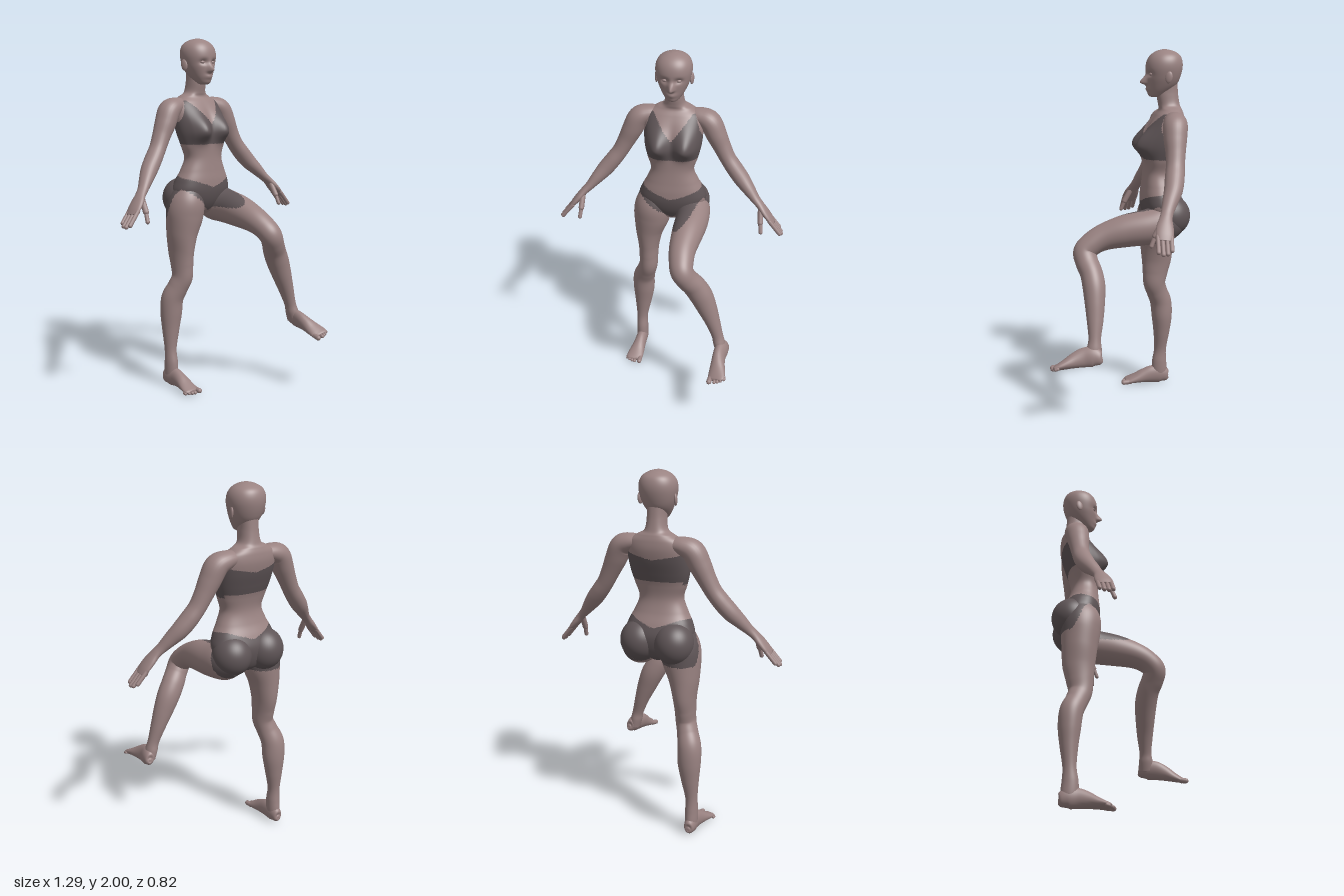
import * as THREE from 'three';

const skin = new THREE.MeshStandardMaterial({ color: 0x9a8382 });
skin.name = 'skin';
const fabric = new THREE.MeshStandardMaterial({ color: 0x5f5557 });
fabric.name = 'fabric';

const V = (x, y, z) => new THREE.Vector3(x, y, z);
const bump = (d, s) => Math.exp(-(d * d) / (2 * s * s));

// Catmull-Rom interpolation over rows of numbers, t in 0..1
function sample(rows, t) {
  const last = rows.length - 1;
  const f = Math.min(Math.max(t, 0), 1) * last;
  const i = Math.min(Math.floor(f), last - 1), u = f - i;
  const row = k => rows[Math.min(Math.max(k, 0), last)];
  const [a, b, c, d] = [row(i - 1), row(i), row(i + 1), row(i + 2)];
  return b.map((_, k) => 0.5 * (2 * b[k] + (c[k] - a[k]) * u
    + (2 * a[k] - 5 * b[k] + 4 * c[k] - d[k]) * u * u
    + (3 * b[k] - a[k] - 3 * c[k] + d[k]) * u * u * u));
}

// Closed skin over rings; point(t, angle) gives a surface point
function loft(point, rings, sides) {
  const pos = [], idx = [], ends = [V(0, 0, 0), V(0, 0, 0)];
  for (let i = 0; i <= rings; i++) for (let j = 0; j < sides; j++) {
    const p = point(i / rings, (j / sides) * Math.PI * 2);
    pos.push(p.x, p.y, p.z);
    if (i === 0) ends[0].addScaledVector(p, 1 / sides);
    if (i === rings) ends[1].addScaledVector(p, 1 / sides);
  }
  ends.forEach(e => pos.push(e.x, e.y, e.z));
  const base = (rings + 1) * sides;
  for (let j = 0; j < sides; j++) {
    const k = (j + 1) % sides;
    for (let i = 0; i < rings; i++) {
      const a = i * sides, b = a + sides;
      idx.push(a + j, a + k, b + k, a + j, b + k, b + j);
    }
    idx.push(base, k, j, base + 1, rings * sides + j, rings * sides + k);
  }
  const geo = new THREE.BufferGeometry();
  geo.setAttribute('position', new THREE.Float32BufferAttribute(pos, 3));
  geo.setIndex(idx);
  geo.computeVertexNormals();
  return geo;
}

// Limb: rows [x, y, z, radius along ref, radius across]
function limb(rows, ref, rings = 60, sides = 28) {
  return loft((t, ang) => {
    const r = sample(rows, t), e = 0.004;
    const tan = V(...sample(rows, t + e)).sub(V(...sample(rows, t - e))).normalize();
    const u = ref.clone().addScaledVector(tan, -ref.dot(tan)).normalize();
    const v = tan.clone().cross(u);
    return V(r[0], r[1], r[2])
      .addScaledVector(u, Math.max(r[3], 0.003) * Math.cos(ang))
      .addScaledVector(v, Math.max(r[4], 0.003) * Math.sin(ang));
  }, rings, sides);
}

// Upright form: rows [y, half width, front z, back z]; relief pushes the front forward
function upright(rows, rings, sides, power, relief) {
  const round = v => Math.sign(v) * Math.pow(Math.abs(v), power);
  return loft((t, ang) => {
    const [y, w, f, b] = sample(rows, t);
    const x = w * round(Math.cos(ang)), s = -round(Math.sin(ang));
    const z = (f + b) / 2 + ((f - b) / 2) * s;
    return V(x, y, z + (s > 0 ? relief(x, y) * Math.min(1, s * 1.6) : 0));
  }, rings, sides);
}

// Underwear regions
function isFabric(x, y, z) {
  const ax = Math.abs(x);
  if (y > 1.3) {
    if (y < 1.41) return false;
    if (z < -0.27) return y > 1.43 && y < 1.55 + 0.2 * ax;
    return y < Math.min(1.52 + 1.25 * ax, 1.66 - 2.8 * (ax - 0.12), 1.655);
  }
  const k = THREE.MathUtils.smoothstep(-z, 0.2, 0.31);
  const low = THREE.MathUtils.lerp(1.025 + 0.75 * ax, 0.985, k);
  return y > low && y < 1.165 + 0.33 * ax + 0.02 * k;
}

// Sort faces into skin and fabric groups
function paint(geo) {
  const p = geo.attributes.position, src = geo.index.array, lists = [[], []];
  for (let i = 0; i < src.length; i += 3) {
    const f = [src[i], src[i + 1], src[i + 2]];
    const mid = g => (p[g](f[0]) + p[g](f[1]) + p[g](f[2])) / 3;
    lists[isFabric(mid('getX'), mid('getY'), mid('getZ')) ? 1 : 0].push(...f);
  }
  geo.setIndex([...lists[0], ...lists[1]]);
  geo.clearGroups();
  geo.addGroup(0, lists[0].length, 0);
  geo.addGroup(lists[0].length, lists[1].length, 1);
  return geo;
}

function add(parent, name, geo, painted = false) {
  const m = new THREE.Mesh(painted ? paint(geo) : geo, painted ? [skin, fabric] : skin);
  m.name = name;
  parent.add(m);
  return m;
}

function ball(c, r) {
  return new THREE.SphereGeometry(1, 48, 36).scale(...r).translate(...c);
}

// Finger or toe between two points
function digit(parent, name, p, q, r) {
  const d = q.clone().sub(p);
  const m = add(parent, name, new THREE.CapsuleGeometry(r, d.length(), 5, 12));
  m.position.copy(p).addScaledVector(d, 0.5);
  m.quaternion.setFromUnitVectors(V(0, 1, 0), d.normalize());
}

const X = V(1, 0, 0), Z = V(0, 0, 1);

function arm(s) {
  const g = new THREE.Group();
  g.name = s > 0 ? 'leftArm' : 'rightArm';
  const rows = [
    [.08, 1.63, -.30, .045, .035], [.15, 1.622, -.295, .06, .05], [.2, 1.597, -.287, .066, .06],
    [.235, 1.53, -.28, .062, .058], [.27, 1.46, -.275, .053, .05], [.305, 1.395, -.267, .05, .045],
    [.345, 1.34, -.256, .052, .046], [.39, 1.285, -.24, .049, .045], [.435, 1.235, -.215, .041, .036],
    [.475, 1.19, -.193, .033, .026], [.505, 1.16, -.18, .034, .022], [.535, 1.125, -.17, .044, .021],
    [.565, 1.09, -.163, .046, .017], [.588, 1.063, -.158, .036, .01]];
  add(g, 'armAndPalm', limb(rows.map(([x, ...r]) => [x * s, ...r]), Z, 90));
  const reach = [.8, .97, 1, .88];
  for (let i = 0; i < 4; i++) {
    const z = -.196 + i * .023, k = reach[i];
    digit(g, 'finger', V(s * .567, 1.085, z), V(s * (.567 + .068 * k), 1.085 - .08 * k, z + .006), .0115);
  }
  digit(g, 'thumbBase', V(s * .512, 1.14, -.158), V(s * .516, 1.075, -.123), .016);
  digit(g, 'thumbTip', V(s * .516, 1.075, -.123), V(s * .522, 1.025, -.103), .0115);
  return g;
}

// Foot with the sole at y = 0 and the ankle above the origin
function foot(s) {
  const g = new THREE.Group();
  g.name = s > 0 ? 'leftFoot' : 'rightFoot';
  const rows = [
    [0, .04, -.056, .008, .01], [0, .041, -.046, .026, .034], [0, .055, -.01, .034, .054],
    [0, .056, .04, .034, .053], [.005, .046, .09, .038, .043], [.012, .031, .14, .046, .029],
    [.018, .02, .18, .05, .019], [.019, .016, .2, .046, .013], [.019, .015, .207, .03, .008]];
  add(g, 'footBody', limb(rows.map(([x, ...r]) => [x * s, ...r]), X, 48));
  for (let i = 0; i < 5; i++) {
    const r = i ? .0105 - i * .0004 : .0145, x = i ? -.002 + i * .0165 : -.016;
    digit(g, 'toe', V(s * x, r + .003, .18), V(s * x, r, .22 - i * i * .0018), r);
  }
  return g;
}

export function createModel() {
  const body = new THREE.Group();
  body.name = 'figure';

  // Torso and neck
  const torso = [
    [1.0, .03, -.22, -.31], [1.03, .09, -.185, -.34], [1.08, .165, -.155, -.36], [1.14, .192, -.138, -.365],
    [1.2, .177, -.136, -.345], [1.26, .147, -.142, -.318], [1.33, .122, -.148, -.302], [1.4, .142, -.15, -.312],
    [1.47, .159, -.155, -.335], [1.54, .165, -.168, -.358], [1.6, .162, -.19, -.37], [1.645, .145, -.215, -.368],
    [1.675, .1, -.235, -.36], [1.7, .06, -.232, -.35], [1.76, .05, -.222, -.34], [1.83, .05, -.23, -.335]];
  const bust = (x, y) => .068 * bump(y - 1.485, y > 1.485 ? .062 : .042) * bump(Math.abs(x) - .08, .045);
  add(body, 'torso', upright(torso, 190, 110, .88, bust), true);
  add(body, 'rightButtock', ball([-.1, 1.1, -.3], [.108, .115, .11]), true);
  add(body, 'leftButtock', ball([.1, 1.098, -.285], [.108, .112, .11]), true);

  // Head with face relief
  const head = [
    [1.742, .012, -.2, -.235], [1.75, .033, -.185, -.255], [1.775, .054, -.176, -.29], [1.81, .074, -.168, -.33],
    [1.85, .09, -.164, -.35], [1.9, .1, -.16, -.362], [1.94, .096, -.168, -.36], [1.97, .078, -.188, -.345],
    [1.99, .046, -.218, -.312], [1.999, .012, -.25, -.275]];
  const face = (x, y) => {
    const ax = Math.abs(x);
    return .038 * bump(y - 1.822, y > 1.822 ? .022 : .009) * bump(x, .011)
      + .012 * bump(y - 1.785, .012) * bump(x, .02) + .008 * bump(y - 1.755, .012) * bump(x, .02)
      - .014 * bump(y - 1.868, .011) * bump(ax - .038, .016);
  };
  add(body, 'head', upright(head, 110, 96, .95, face));
  for (const s of [-1, 1]) {
    add(body, 'eye', ball([s * .038, 1.867, -.185], [.014, .009, .012]));
    const ear = add(body, 'ear', ball([0, 0, 0], [.009, .032, .02]));
    ear.position.set(s * .097, 1.852, -.27);
    ear.rotation.set(-.15, s * -.3, 0);
    body.add(arm(s));
  }

  // Standing leg
  const standing = [
    [-.1, 1.16, -.26, .08, .09], [-.115, 1.08, -.25, .104, .112], [-.124, 1.0, -.25, .106, .108],
    [-.14, .9, -.255, .083, .097], [-.145, .8, -.257, .063, .088], [-.146, .72, -.25, .056, .075],
    [-.148, .65, -.246, .055, .065], [-.165, .59, -.265, .058, .061], [-.185, .52, -.292, .065, .063],
    [-.188, .43, -.3, .064, .06], [-.193, .33, -.3, .05, .048], [-.2, .22, -.295, .034, .036],
    [-.2, .14, -.29, .035, .043], [-.2, .08, -.292, .034, .046], [-.2, .04, -.293, .03, .04]];
  add(body, 'standingLeg', limb(standing, X, 140, 56), true);
  const rightFoot = foot(-1);
  rightFoot.position.set(-.2, 0.002, -.29);
  body.add(rightFoot);

  // Raised leg
  const raised = [
    [.1, 1.08, -.32, .08, .08], [.115, 1.06, -.25, .1, .105], [.125, 1.04, -.15, .095, .098],
    [.116, 1.02, -.03, .088, .09], [.107, .99, .08, .076, .075], [.11, .955, .15, .069, .066],
    [.12, .912, .193, .064, .064], [.148, .862, .187, .062, .063], [.187, .805, .166, .066, .062],
    [.225, .74, .157, .066, .062], [.26, .66, .157, .057, .055], [.295, .57, .16, .043, .045],
    [.325, .48, .166, .033, .034], [.338, .43, .17, .034, .04], [.352, .38, .174, .032, .042]];
  add(body, 'raisedLeg', limb(raised, X, 140, 56), true);
  const leftFoot = foot(1);
  leftFoot.position.set(.372, .335, .182);
  leftFoot.rotation.set(.12, -.2, .28);
  body.add(leftFoot);

  return body;
}
